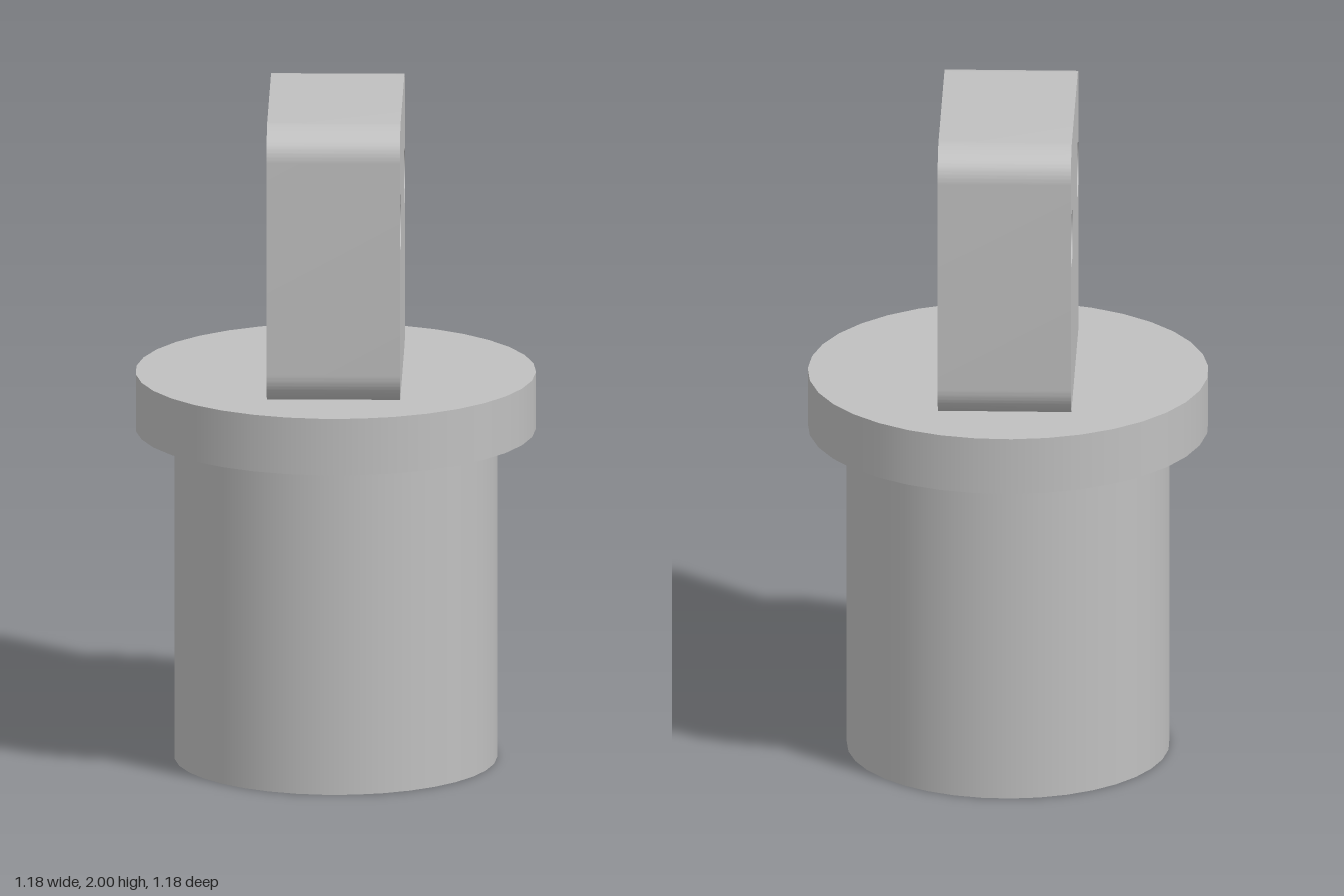
import * as THREE from 'three';
import { mergeGeometries, toCreasedNormals } from 'three/addons/utils/BufferGeometryUtils.js';

const SEGMENTS = 35;

// Turned solid with sharp rims: one lathe band per pair of profile points
function turned(profile) {
  const bands = [];
  for (let i = 0; i < profile.length - 1; i++) {
    const pair = [profile[i], profile[i + 1]].map(([r, y]) => new THREE.Vector2(r, y));
    bands.push(new THREE.LatheGeometry(pair, SEGMENTS, Math.PI / 2));
  }
  return mergeGeometries(bands);
}

// Rounded plate in the z-y plane with two cross holes, extruded along x
function lugGeometry() {
  const w = 0.4, bottom = 1.157, top = 2, r = 0.1, thickness = 0.394;
  const shape = new THREE.Shape();
  shape.absarc(w - r, bottom + r, r, -Math.PI / 2, 0);
  shape.absarc(w - r, top - r, r, 0, Math.PI / 2);
  shape.absarc(-w + r, top - r, r, Math.PI / 2, Math.PI);
  shape.absarc(-w + r, bottom + r, r, Math.PI, Math.PI * 1.5);
  shape.closePath();
  for (const side of [-1, 1]) {
    const hole = new THREE.Path();
    hole.absarc(side * 0.298, 1.697, 0.085, 0, Math.PI * 2, true);
    shape.holes.push(hole);
  }
  const geometry = new THREE.ExtrudeGeometry(shape, {
    depth: thickness, bevelEnabled: false, curveSegments: 14,
  });
  geometry.translate(0, 0, -thickness / 2);
  geometry.rotateY(Math.PI / 2);
  return toCreasedNormals(geometry, 0.5);
}

export function createModel() {
  const model = new THREE.Group();
  model.name = 'plugWithLug';
  const grey = new THREE.MeshStandardMaterial({ color: 0xc0c0c0 });
  grey.name = 'grey';

  const add = (name, geometry) => {
    const mesh = new THREE.Mesh(geometry, grey);
    mesh.name = name;
    model.add(mesh);
  };

  // Cylindrical body with a central bore open at the bottom
  add('body', turned([[0, 1], [0.196, 1], [0.196, 0], [0.477, 0], [0.477, 1]]));
  // Wider collar on top of the body
  add('flange', turned([[0.477, 1], [0.592, 1], [0.592, 1.172], [0, 1.172]]));
  // Upright lug with cross holes
  add('lug', lugGeometry());
  return model;
}
